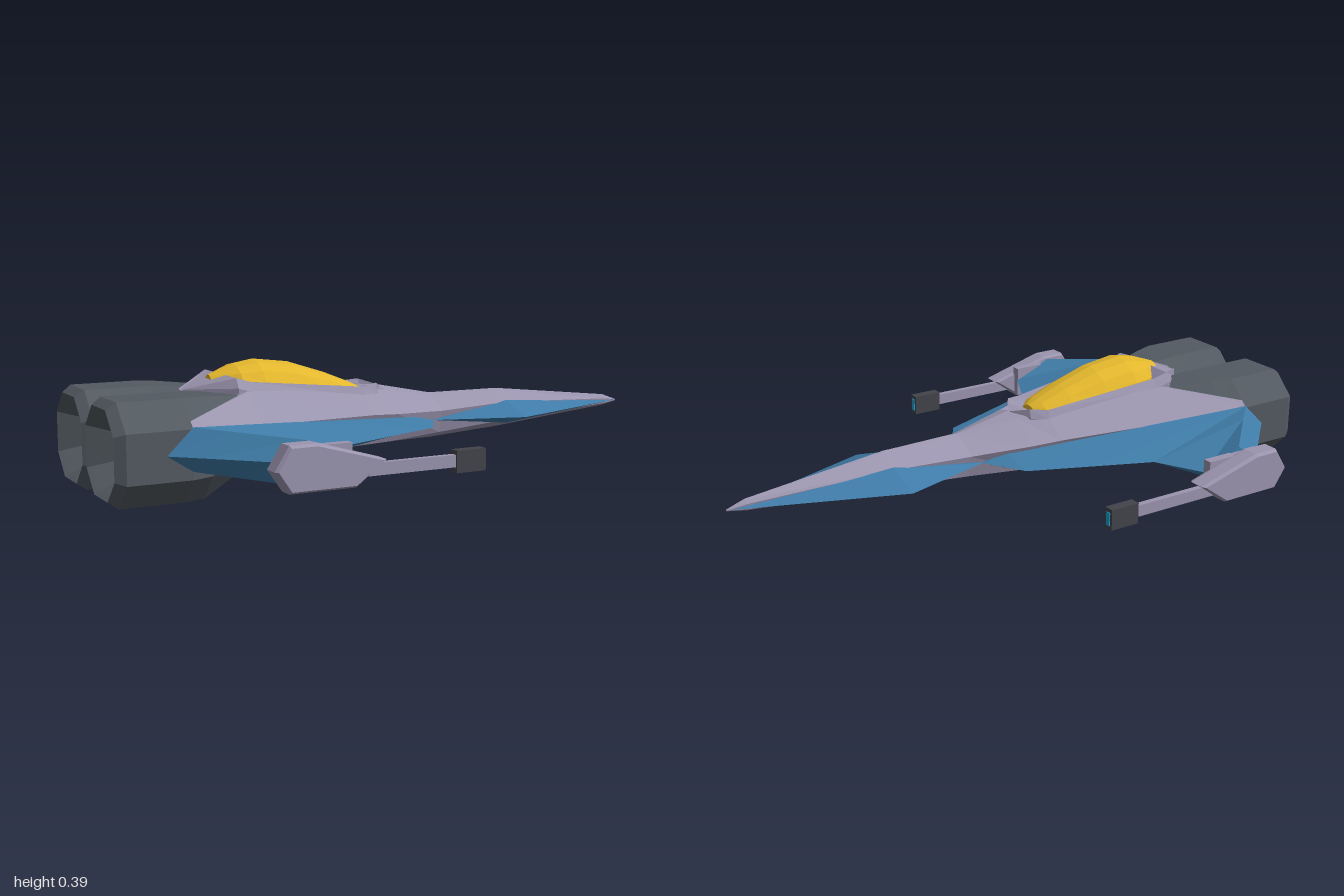
import * as THREE from 'three';
import { ConvexGeometry } from 'three/addons/geometries/ConvexGeometry.js';

const paint = (color) => new THREE.MeshStandardMaterial({ color, flatShading: true });
const V = (x, y, z) => new THREE.Vector3(x, y, z);

// Closed, flat-shaded skin through equal-length rings; winding is fixed from the signed volume.
function loft(rings) {
  const tris = [];
  const n = rings[0].length;
  for (let i = 0; i < rings.length - 1; i++) {
    for (let j = 0; j < n; j++) {
      const k = (j + 1) % n;
      const [a, b, c, d] = [rings[i][j], rings[i][k], rings[i + 1][k], rings[i + 1][j]];
      tris.push([a, b, c], [a, c, d]);
    }
  }
  const cap = (ring, flip) => {
    const mid = ring.reduce((s, p) => s.add(p), V(0, 0, 0)).divideScalar(n);
    ring.forEach((p, j) => {
      const q = ring[(j + 1) % n];
      tris.push(flip ? [mid, q, p] : [mid, p, q]);
    });
  };
  cap(rings[0], true);
  cap(rings[rings.length - 1], false);
  const volume = tris.reduce((s, [a, b, c]) => s + a.dot(b.clone().cross(c)), 0);
  const points = tris.flatMap(([a, b, c]) => (volume < 0 ? [a, c, b] : [a, b, c]));
  const geometry = new THREE.BufferGeometry().setFromPoints(points);
  geometry.computeVertexNormals();
  return geometry;
}

// Ring at x from a right-half profile of [z, y], mirrored across the centre line.
function mirroredRing(x, half) {
  const other = half.filter(([z]) => z !== 0).reverse().map(([z, y]) => [-z, y]);
  return [...half, ...other].map(([z, y]) => V(x, y, z));
}

export function createModel() {
  const model = new THREE.Group();
  const hull = paint(0x9a94ae), blue = paint(0x3f7ca8), dark = paint(0x535a61);
  const yellow = paint(0xe2b62c), cyan = paint(0x1f9fd0), black = paint(0x42444a);
  const add = (name, geometry, material, parent = model) => {
    const mesh = new THREE.Mesh(geometry, material);
    mesh.name = name;
    parent.add(mesh);
    return mesh;
  };
  const box = (name, x0, x1, y0, y1, z, depth, material, parent) =>
    add(name, new THREE.BoxGeometry(x1 - x0, y1 - y0, depth), material, parent)
      .position.set((x0 + x1) / 2, (y0 + y1) / 2, z);

  // Fuselage: x, top y, shoulder z y, side z y, lower side z y, keel y
  const fuselage = [
    [-0.77, 0.24, 0.29, 0.25, 0.307, 0.235, 0.28, 0.11, 0.09],
    [-0.53, 0.29, 0.15, 0.305, 0.26, 0.215, 0.2, 0.1, 0.08],
    [-0.1, 0.25, 0.08, 0.275, 0.165, 0.202, 0.12, 0.1, 0.08],
    [0, 0.277, 0.05, 0.265, 0.142, 0.195, 0.1, 0.1, 0.08],
    [0.2, 0.237, 0.02, 0.23, 0.09, 0.185, 0.07, 0.11, 0.083],
    [0.47, 0.235, 0.01, 0.23, 0.075, 0.195, 0.06, 0.13, 0.1],
    [0.94, 0.182, 0.003, 0.18, 0.012, 0.168, 0.01, 0.15, 0.143],
    [1, 0.16, 0.001, 0.16, 0.002, 0.158, 0.001, 0.156, 0.155],
  ];
  add('fuselage', loft(fuselage.map(([x, t, az, ay, bz, by, cz, cy, k]) =>
    mirroredRing(x, [[0, t], [az, ay], [bz, by], [cz, cy], [0, k]]))), hull);

  // Nose fins: a thin faceted blade through the nose
  const fin = [V(1, 0.158, 0)];
  for (const s of [1, -1]) {
    fin.push(V(0.16, 0.157, 0.095 * s), V(0.47, 0.157, 0.19 * s),
      V(0.47, 0.2, 0.072 * s), V(0.47, 0.122, 0.072 * s));
  }
  add('noseFins', new ConvexGeometry(fin), blue);

  // Cockpit rim: x, half width, top y, inner floor y
  const rim = [
    [-0.69, 0.02, 0.305, 0.3], [-0.56, 0.15, 0.345, 0.345], [-0.51, 0.145, 0.33, 0.3],
    [-0.1, 0.1, 0.285, 0.255], [-0.04, 0.075, 0.292, 0.275], [0, 0.012, 0.277, 0.275],
  ];
  add('cockpitRim', loft(rim.map(([x, w, t, f]) =>
    mirroredRing(x, [[0, f], [0.72 * w, f], [0.87 * w, t], [w, t - 0.03], [w, 0.24], [0, 0.24]]))), hull);

  // Canopy: x, half width, base y, top y
  const canopy = [
    [-0.6, 0.035, 0.3, 0.345], [-0.52, 0.105, 0.29, 0.375], [-0.45, 0.118, 0.28, 0.387],
    [-0.33, 0.11, 0.265, 0.372], [-0.2, 0.097, 0.25, 0.33], [-0.11, 0.08, 0.24, 0.294], [-0.08, 0.045, 0.24, 0.28],
  ];
  add('canopy', loft(canopy.map(([x, w, b, t]) =>
    mirroredRing(x, [0, 1, 2, 3, 4].map((i) => {
      const a = (i / 4) * Math.PI / 2;
      return [w * Math.sin(a), b + (t - b) * Math.cos(a)];
    })))), yellow);

  // Engine: x, centre z y, half width, half height; starts inside the hollow nozzle
  const engine = [
    [-0.86, 0.155, 0.155, 0.055, 0.055], [-0.985, 0.155, 0.155, 0.125, 0.125],
    [-1, 0.155, 0.155, 0.134, 0.134], [-0.97, 0.155, 0.155, 0.155, 0.155],
    [-0.77, 0.155, 0.155, 0.155, 0.155], [-0.7, 0.14, 0.154, 0.14, 0.154],
    [-0.45, 0.09, 0.2, 0.07, 0.085],
  ];
  const octagon = [[0.48, 1], [1, 0.48], [1, -0.48], [0.48, -1], [-0.48, -1], [-1, -0.48], [-1, 0.48], [-0.48, 1]];

  // Wing: z, trailing x, ridge x, leading x, top y, bottom y
  const wing = [
    [0.05, -0.8, 0.1, 0.16, 0.17, 0.13], [0.1, -0.8, 0.08, 0.16, 0.18, 0.125],
    [0.23, -0.83, -0.4, 0.08, 0.212, 0.11], [0.31, -0.85, -0.77, -0.115, 0.235, 0.105],
    [0.39, -0.767, -0.687, -0.31, 0.228, 0.096], [0.545, -0.61, -0.53, -0.39, 0.215, 0.08],
  ];

  // Gun pod side outline
  const pod = new THREE.Shape([[-0.65, 0.147], [-0.61, 0.21], [-0.53, 0.21], [-0.32, 0.152], [-0.41, 0.088], [-0.61, 0.088]]
    .map(([x, y]) => new THREE.Vector2(x, y)));
  const podGeometry = new THREE.ExtrudeGeometry(pod, {
    depth: 0.05, bevelEnabled: true, bevelThickness: 0.011, bevelSize: 0.007, bevelSegments: 1,
  });

  for (const s of [1, -1]) {
    const side = new THREE.Group();
    side.name = s > 0 ? 'leftSide' : 'rightSide';
    model.add(side);

    add('engine', loft(engine.map(([x, cz, cy, w, h]) =>
      octagon.map(([u, v]) => V(x, cy + v * h, s * (cz + u * w))))), dark, side);
    const glow = add('exhaustGlow', new THREE.CylinderGeometry(0.052, 0.052, 0.01, 8), cyan, side);
    glow.rotation.z = Math.PI / 2;
    glow.position.set(-0.866, 0.155, s * 0.155);

    add('wing', loft(wing.map(([z, trail, ridge, lead, top, bottom]) =>
      [V(trail, 0.157, s * z), V(ridge, top, s * z), V(lead, 0.157, s * z), V(ridge, bottom, s * z)])), blue, side);

    box('podMount', -0.6, -0.39, 0.095, 0.2, s * 0.555, 0.03, hull, side);
    add('gunPod', podGeometry, hull, side).position.z = s * 0.6 - 0.025;
    box('gunBarrel', -0.4, -0.06, 0.105, 0.142, s * 0.6, 0.02, hull, side);
    box('gunMuzzle', -0.07, 0.03, 0.088, 0.155, s * 0.6, 0.034, black, side);
    box('muzzleGlow', 0.02, 0.033, 0.1, 0.142, s * 0.6, 0.016, cyan, side);
  }
  return model;
}
